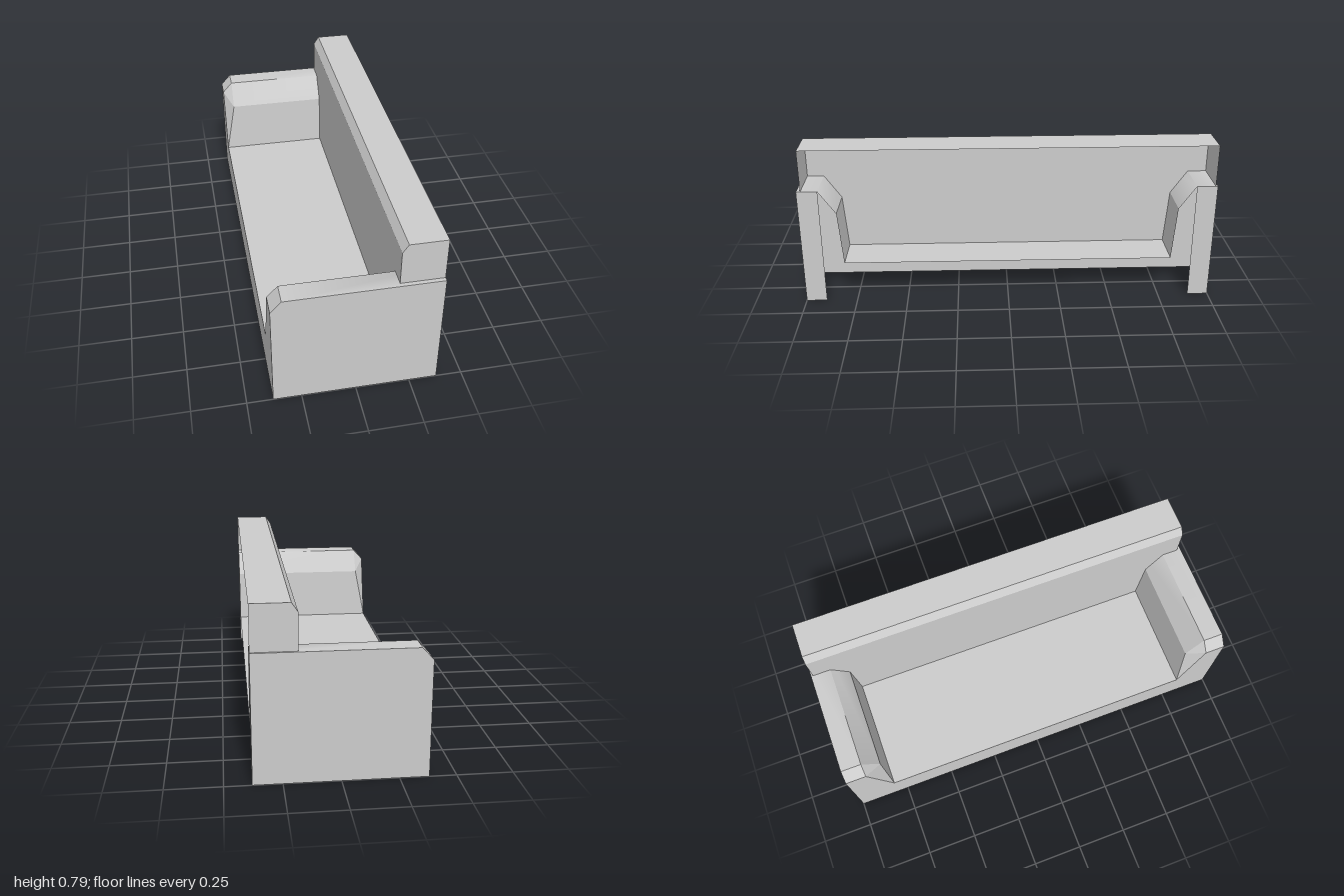
import * as THREE from 'three';

const material = new THREE.MeshStandardMaterial({ color: 0xcccccc, side: THREE.DoubleSide });

// Mesh of convex faces with sharp edges; side = -1 mirrors it across z = 0
function panelMesh(name, faces, side = 1) {
  const pos = [];
  for (const face of faces) {
    const f = face.map(([x, y, z]) => [x, y, z * side]);
    if (side < 0) f.reverse();
    for (let i = 1; i < f.length - 1; i++) pos.push(...f[0], ...f[i], ...f[i + 1]);
  }
  const g = new THREE.BufferGeometry();
  g.setAttribute('position', new THREE.Float32BufferAttribute(pos, 3));
  g.computeVertexNormals();
  const mesh = new THREE.Mesh(g, material);
  mesh.name = name;
  return mesh;
}

export function createModel() {
  const sofa = new THREE.Group();
  sofa.name = 'sofa';
  const F = -0.38, B = 0.38, C = -0.33; // front, rear and bevel line in x
  const seatY = 0.205, armY = 0.585, noseY = 0.53, foldY = 0.47;

  // Seat top and front apron
  sofa.add(panelMesh('seat', [[[F, seatY, 0.8], [B, seatY, 0.8], [B, seatY, -0.8], [F, seatY, -0.8]]]));
  sofa.add(panelMesh('frontApron', [[[F, 0, -0.8], [F, 0, 0.8], [F, seatY, 0.8], [F, seatY, -0.8]]]));

  // Backrest shell, open at the rear: front panel, bevel, top and end caps
  const z0 = -0.99, z1 = 0.98;
  const profile = [[0.18, 0.045], [0.18, 0.75], [0.207, 0.79], [B, 0.79]];
  const backFaces = [];
  for (let i = 0; i < 3; i++) {
    const a = profile[i], b = profile[i + 1];
    backFaces.push([[...a, z0], [...a, z1], [...b, z1], [...b, z0]]);
  }
  const cap = [[0.18, 0.42], [B, 0.42], [B, 0.79], [0.207, 0.79], [0.18, 0.75]];
  backFaces.push(cap.map(p => [...p, z1]), cap.map(p => [...p, z0]).reverse());
  sofa.add(panelMesh('backrest', backFaces));

  // Armrests, mirrored
  for (const side of [1, -1]) {
    const arm = new THREE.Group();
    arm.name = side > 0 ? 'frontEndArm' : 'rearEndArm';
    arm.add(panelMesh('armShell', [
      [[F, 0, 1], [B, 0, 1], [B, armY, 1], [C, armY, 1], [F, noseY, 1]],
      [[B, 0, 1], [B, 0, 0.9], [B, armY, 0.9], [B, armY, 1]],
      [[C, foldY, 0.82], [B, foldY, 0.82], [B, seatY, 0.8], [F, seatY, 0.8]],
      [[F, 0, 0.8], [F, 0, 1], [F, noseY, 1], [F, noseY, 0.9], [F, seatY, 0.8]],
      [[F, seatY, 0.8], [F, noseY, 0.9], [C, foldY, 0.82]],
      [[F, noseY, 1], [C, armY, 1], [C, armY, 0.9], [F, noseY, 0.9]],
      [[F, noseY, 0.9], [C, armY, 0.9], [C, foldY, 0.82]],
    ], side));

    // Arm top: crease is sharp at the front and softens toward the rear
    const top = panelMesh('armTop', [
      [[C, armY, 1], [B, armY, 1], [B, armY, 0.9], [C, armY, 0.9]],
      [[C, armY, 0.9], [B, armY, 0.9], [B, foldY, 0.82], [C, foldY, 0.82]],
    ], side);
    const { position, normal } = top.geometry.attributes;
    const soft = new THREE.Vector3(0, 1.57, -0.82 * side).normalize();
    for (let i = 0; i < position.count; i++) {
      const atRear = position.getX(i) > 0.3 && Math.abs(Math.abs(position.getZ(i)) - 0.9) < 0.01;
      if (atRear) normal.setXYZ(i, soft.x, soft.y, soft.z);
    }
    arm.add(top);
    sofa.add(arm);
  }
  return sofa;
}
